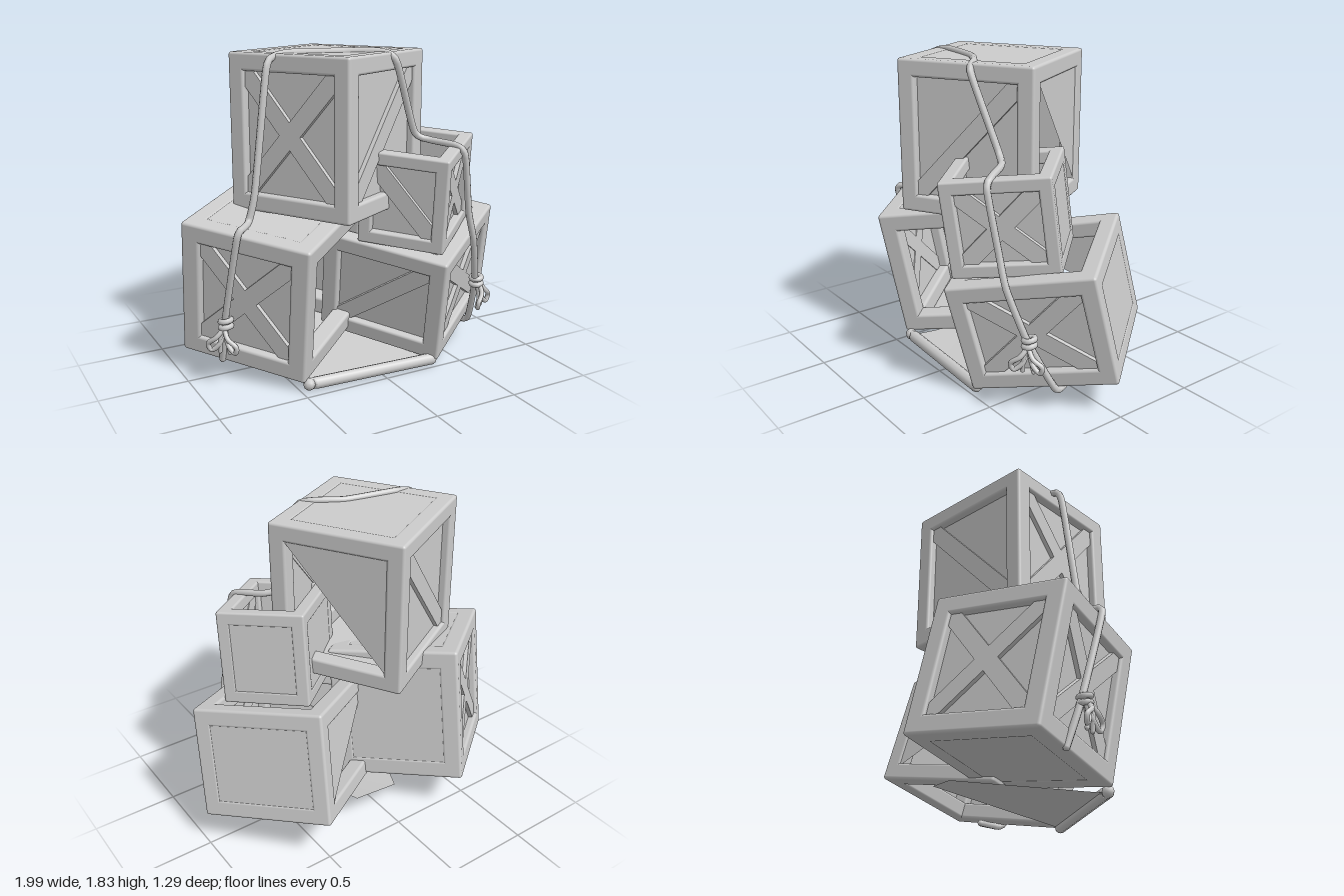
import * as THREE from 'three';
import { RoundedBoxGeometry } from 'three/addons/geometries/RoundedBoxGeometry.js';

const grey = new THREE.MeshStandardMaterial({ color: 0xcccccc, side: THREE.DoubleSide });
grey.name = 'plain grey';
const V = (p) => new THREE.Vector3(...p);

function add(parent, name, geometry) {
  const mesh = new THREE.Mesh(geometry, grey);
  mesh.name = name;
  parent.add(mesh);
  return mesh;
}

// Thin polygon through the given corners
function sheet(parent, name, corners) {
  const g = new THREE.BufferGeometry().setFromPoints(corners.map(V));
  g.setIndex(corners.length === 4 ? [0, 1, 2, 0, 2, 3] : [0, 1, 2]);
  g.computeVertexNormals();
  add(parent, name, g);
}

// One side of a crate, built facing +z.
// style: open, flat, rise or fall (one plank), cross (two planks),
// halfLeft or halfRight (board over the upper triangle only)
function crateSide(crate, name, style, w, h, depth, rx, ry) {
  if (style === 'open') return;
  const side = new THREE.Group();
  side.name = name;
  side.rotation.set(rx, ry, 0);
  crate.add(side);
  const z = depth / 2 - (style === 'flat' ? 0.004 : 0.045);
  if (style.startsWith('half')) {
    const x = w / 2 - 0.04, y = h / 2 - 0.04, top = depth / 2 - 0.01;
    const s = style === 'halfLeft' ? -1 : 1;
    sheet(side, 'triangleBoard', [[-x, y, top], [s * x, -y, top], [x, y, top]]);
    return;
  }
  add(side, 'panel', new THREE.PlaneGeometry(w - 0.04, h - 0.04)).position.z = z;
  const angle = Math.atan2(h, w), length = Math.hypot(w, h) - 0.16;
  const plank = (a) => {
    const m = add(side, 'diagonalPlank', new THREE.BoxGeometry(length, 0.1, 0.03));
    m.position.z = z + 0.01;
    m.rotation.z = a;
  };
  if (style === 'rise' || style === 'cross') plank(angle);
  if (style === 'fall' || style === 'cross') plank(-angle);
}

// Crate placed by its front top corner and its edges to the right, back and up
function makeCrate(name, corner, right, back, up, t, styles) {
  const r = V(right), b = V(back), u = V(up);
  const w = r.length(), d = b.length(), h = u.length();
  const crate = new THREE.Group();
  crate.name = name;
  const ey = u.clone().normalize();
  const ex = r.clone().addScaledVector(ey, -r.dot(ey)).normalize();
  const ez = new THREE.Vector3().crossVectors(ex, ey);
  crate.quaternion.setFromRotationMatrix(new THREE.Matrix4().makeBasis(ex, ey, ez));
  crate.position.copy(V(corner)).addScaledVector(r, 0.5).addScaledVector(b, 0.5).addScaledVector(u, -0.5);

  // Beams along the twelve edges
  for (const i of [-1, 1]) for (const j of [-1, 1]) {
    const x = (w - t) / 2, y = (h - t) / 2, z = (d - t) / 2;
    const radius = t * 0.16;
    add(crate, 'beam', new RoundedBoxGeometry(w, t, t, 3, radius)).position.set(0, i * y, j * z);
    add(crate, 'beam', new RoundedBoxGeometry(t, h, t, 3, radius)).position.set(i * x, 0, j * z);
    add(crate, 'beam', new RoundedBoxGeometry(t, t, d, 3, radius)).position.set(i * x, j * y, 0);
  }
  const q = Math.PI / 2;
  crateSide(crate, 'frontSide', styles.front, w, h, d, 0, 0);
  crateSide(crate, 'backSide', styles.back, w, h, d, 0, Math.PI);
  crateSide(crate, 'rightSide', styles.right, d, h, w, 0, q);
  crateSide(crate, 'leftSide', styles.left, d, h, w, 0, -q);
  crateSide(crate, 'topSide', styles.top, w, d, h, -q, 0);
  crateSide(crate, 'bottomSide', styles.bottom, w, d, h, q, 0);
  return crate;
}

function cord(parent, name, points, radius, tension = 0.3) {
  const curve = new THREE.CatmullRomCurve3(points.map(V), false, 'catmullrom', tension);
  add(parent, name, new THREE.TubeGeometry(curve, points.length * 8, radius, 8));
  for (const end of [0, points.length - 1]) {
    add(parent, name + 'End', new THREE.SphereGeometry(radius, 8, 6)).position.set(...points[end]);
  }
}

// Knotted bow, built facing +z, with two loops and two loose tails
function makeBow(position, yaw) {
  const bow = new THREE.Group();
  bow.name = 'bow';
  for (const y of [0, 0.035]) {
    const wrap = add(bow, 'knotWrap', new THREE.TorusGeometry(0.03, 0.016, 8, 16));
    wrap.position.y = y;
    wrap.rotation.set(Math.PI / 2, 0.2, 0);
  }
  for (const s of [-1, 1]) {
    cord(bow, 'bowLoop', [[0, 0, 0.02], [s * 0.035, -0.05, 0.05], [s * 0.085, -0.09, 0.05],
      [s * 0.07, -0.13, 0.04], [s * 0.025, -0.09, 0.03], [0, -0.01, 0.01]], 0.014, 0.5);
    cord(bow, 'bowTail', [[0, 0, 0.01], [s * 0.02, -0.06, 0.03], [s * 0.03, -0.14, 0.02]], 0.013, 0.5);
  }
  bow.position.set(...position);
  bow.rotation.y = yaw;
  return bow;
}

export function createModel() {
  const model = new THREE.Group();
  model.name = 'crateStack';

  model.add(
    makeCrate('lowerRightCrate', [-0.52, 0.84, 0.59], [0.62, 0.13, -0.5], [-0.48, 0.08, -0.59],
      [-0.03, 0.79, 0.15], 0.11,
      { front: 'open', back: 'cross', left: 'cross', right: 'flat', top: 'flat', bottom: 'flat' }),
    makeCrate('lowerLeftCrate', [0.28, 0.65, 0.65], [0.66, 0.2, -0.47], [-0.44, 0.1, -0.61],
      [-0.05, 0.63, 0.15], 0.1,
      { front: 'cross', back: 'halfLeft', left: 'rise', right: 'flat', top: 'open', bottom: 'open' }),
    makeCrate('topCrate', [-0.27, 1.81, 0.55], [0.7, 0, -0.4], [-0.39, 0, -0.67],
      [0, 0.87, 0], 0.1,
      { front: 'rise', back: 'fall', left: 'cross', right: 'halfRight', top: 'flat', bottom: 'flat' }),
    makeCrate('smallCrate', [0.27, 1.22, 0.66], [0.44, 0.1, -0.39], [-0.33, 0.06, -0.37],
      [-0.02, 0.54, 0.07], 0.075,
      { front: 'cross', back: 'flat', left: 'fall', right: 'flat', top: 'open', bottom: 'flat' }),
  );

  // Floor and sill joining the two lower crates
  sheet(model, 'floorBoard', [[0.33, 0.03, 0.48], [-0.45, 0.03, 0.42], [-0.1, 0.13, -0.33], [0.2, 0.18, -0.35]]);
  cord(model, 'floorSill', [[-0.45, 0.038, 0.42], [0.32, 0.038, 0.46]], 0.035);

  // Rope running over the whole stack
  const rope = new THREE.Group();
  rope.name = 'rope';
  model.add(rope);
  cord(rope, 'ropeLine', [
    [-0.81, 0.12, 0.05], [-0.82, 0.36, 0.13], [-0.79, 0.88, 0.28], [-0.74, 0.92, 0.25],
    [-0.69, 0.94, 0.2], [-0.65, 1.1, 0.2], [-0.56, 1.72, 0.17], [-0.51, 1.79, 0.14],
    [-0.4, 1.81, 0.13], [-0.1, 1.81, 0.18], [0.06, 1.81, 0.27], [0.13, 1.76, 0.34],
    [0.29, 1.36, 0.28], [0.37, 1.31, 0.32], [0.46, 1.29, 0.45], [0.49, 1.24, 0.5],
    [0.55, 0.9, 0.47], [0.6, 0.72, 0.46], [0.68, 0.43, 0.38], [0.74, 0.14, 0.24],
    [0.71, 0.12, 0.15], [0.6, 0.1, 0.05],
  ], 0.02);
  rope.add(makeBow([-0.82, 0.35, 0.15], -0.85), makeBow([0.69, 0.42, 0.38], 0.6));
  return model;
}
